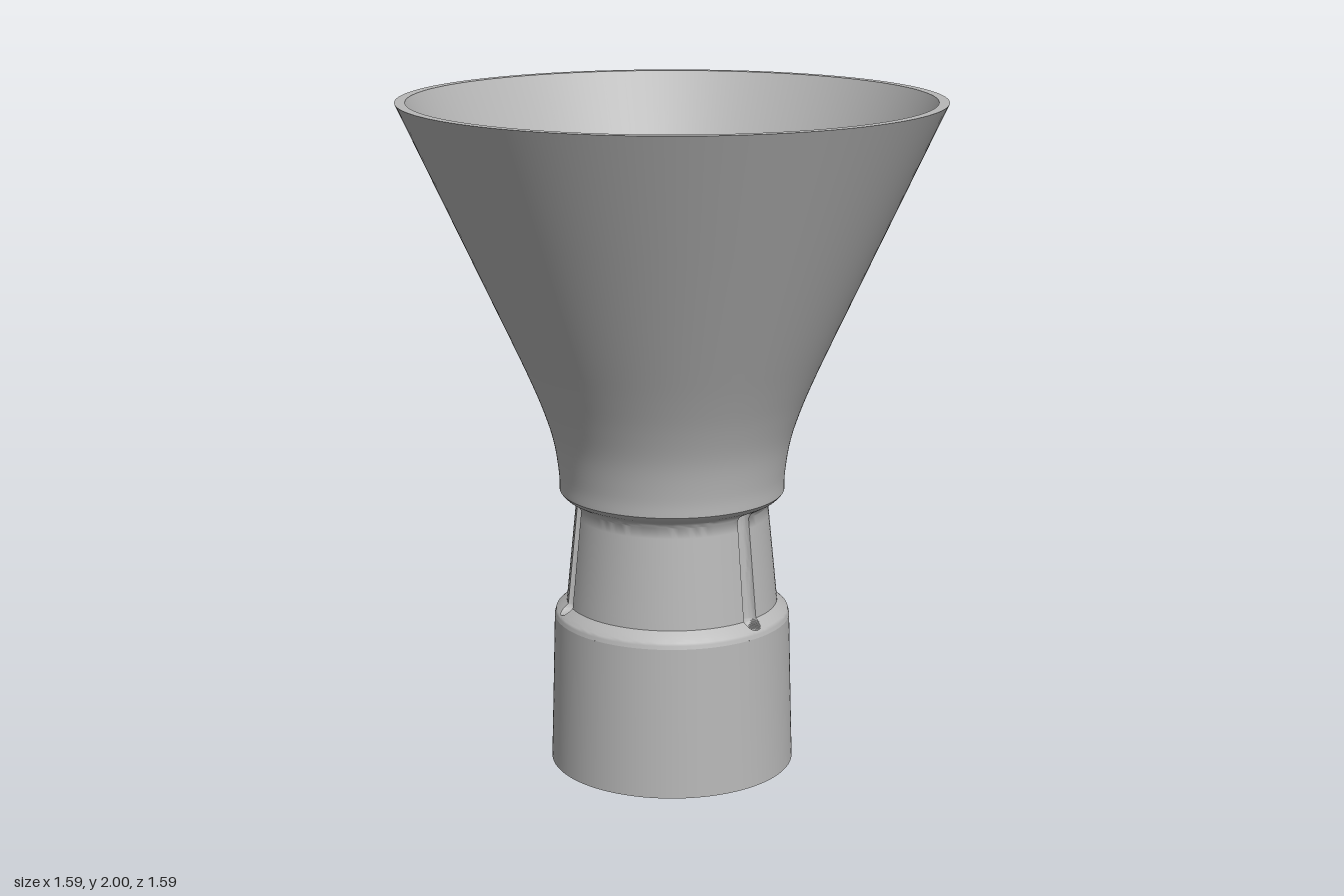
import * as THREE from 'three';
import { mergeVertices, toCreasedNormals } from 'three/addons/utils/BufferGeometryUtils.js';

const SEGMENTS = 144;
const GROOVE = { r: 0.025, low: 0.5, high: 0.805, angles: [15, 135, 255] };
const HOLE = { r: 0.0125, y: 0.65, third: 1 };

const vec = (list) => list.map(([r, y]) => new THREE.Vector2(r, y));

// Recompute normals, closing the lathe seam and keeping real edges sharp
function finish(geometry, crease = 0.6) {
  geometry.deleteAttribute('uv');
  geometry.deleteAttribute('normal');
  return toCreasedNormals(mergeVertices(geometry, 1e-5), crease);
}

const lathe = (points) => finish(new THREE.LatheGeometry(points, SEGMENTS));

// Outer radius of the neck with its upper and lower coves
const neckProfile = [
  [0.354, 0.455], [0.349, 0.472], [0.335, 0.485], [0.317, 0.5],
  [0.287, 0.8], [0.295, 0.815], [0.325, 0.832], [0.335, 0.845],
];
function neckRadius(y) {
  let i = 1;
  while (i < neckProfile.length - 1 && neckProfile[i][1] < y) i++;
  const [r0, y0] = neckProfile[i - 1], [r1, y1] = neckProfile[i];
  return r0 + (r1 - r0) * (y - y0) / (y1 - y0);
}

// Rows are denser at the groove ends and around the pin hole
function neckRows() {
  const rows = [0.455, 0.465, 0.472];
  for (let i = 0; i <= 8; i++) {
    const s = GROOVE.r * Math.cos(i * Math.PI / 16);
    rows.push(GROOVE.low - s, GROOVE.high + s);
  }
  for (let i = 1; i < 10; i++) rows.push(0.5 + i * 0.03);
  for (let i = -5; i <= 5; i++) if (i) rows.push(HOLE.y + i * 0.0035);
  rows.push(0.8, 0.815, 0.838, 0.845);
  rows.sort((a, b) => a - b);
  return rows.filter((y, i) => i === 0 || y - rows[i - 1] > 1e-4);
}

// Neck with three round-bottomed grooves, one of them drilled
function neckGeometry() {
  const rows = neckRows();
  const geometry = new THREE.LatheGeometry(rows.map((y) => new THREE.Vector2(neckRadius(y), y)), SEGMENTS);
  const position = geometry.attributes.position;
  const perThird = SEGMENTS / 3, inGroove = 16;
  const half = GROOVE.r / 0.3;
  for (let i = 0; i <= SEGMENTS; i++) {
    const third = Math.floor(i / perThird) % 3, k = i % perThird;
    // Columns crowd into the groove, the rest spread evenly
    const offset = k <= inGroove
      ? half * Math.sin((k / inGroove - 0.5) * Math.PI)
      : half + (k - inGroove) / (perThird - inGroove) * (Math.PI * 2 / 3 - 2 * half);
    const angle = THREE.MathUtils.degToRad(GROOVE.angles[third]) + offset;
    const across = offset * 0.3;
    rows.forEach((y, j) => {
      let r = neckRadius(y);
      const along = y - THREE.MathUtils.clamp(y, GROOVE.low, GROOVE.high);
      const d = Math.hypot(across, along);
      if (d < GROOVE.r - 1e-6) {
        const cone = 0.317 - (y - 0.5) * 0.1;
        r = Math.min(r, cone - Math.sqrt(GROOVE.r ** 2 - d * d));
      }
      if (third === HOLE.third && Math.hypot(across, y - HOLE.y) < HOLE.r) r -= 0.07;
      position.setXYZ(i * rows.length + j, r * Math.sin(angle), y, r * Math.cos(angle));
    });
  }
  return finish(geometry);
}

export function createModel() {
  const group = new THREE.Group();
  const grey = new THREE.MeshStandardMaterial({ color: 0xb8b8b8 });
  grey.name = 'plain grey';
  const add = (name, geometry) => {
    const mesh = new THREE.Mesh(geometry, grey);
    mesh.name = name;
    group.add(mesh);
  };

  // Slightly tapered collar with its flat bottom edge
  add('collar', lathe(vec([[0.325, 0], [0.367, 0], [0.361, 0.2], [0.354, 0.455]])));

  add('groovedNeck', neckGeometry());

  // Flared bell, curved at its foot, with a flat rim on top
  const flare = new THREE.SplineCurve(vec([
    [0.335, 0.845], [0.337, 0.9], [0.353, 1.0], [0.385, 1.1], [0.426, 1.2], [0.471, 1.3],
  ])).getPoints(25);
  add('bell', lathe([...flare, ...vec([[0.632, 1.65], [0.793, 2], [0.763, 2]])]));

  // Inside of the bell, narrowing to the outlet
  add('bellInside', lathe(vec([[0.763, 2], [0.45, 1.345], [0.135, 0.69], [0.135, 0.58]])));

  // Socket open at the bottom
  add('socket', lathe(vec([
    [0.135, 0.58], [0.25, 0.58], [0.265, 0.5], [0.315, 0.44], [0.325, 0],
  ])));

  return group;
}
